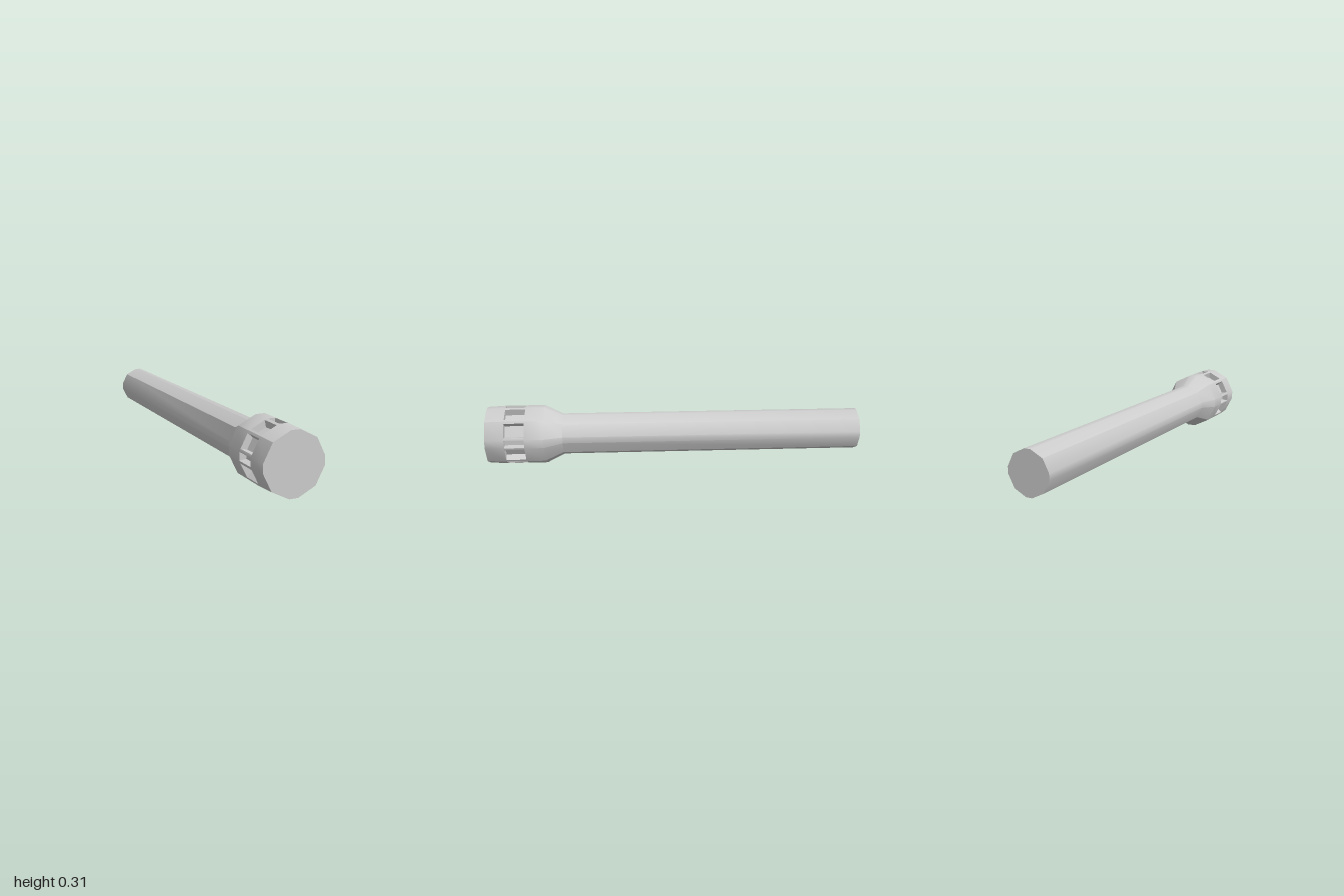
import * as THREE from 'three';
import { toCreasedNormals } from 'three/addons/utils/BufferGeometryUtils.js';

const R = 0.157;
const material = new THREE.MeshStandardMaterial({ color: 0xcccccc });

// Twelve-sided section, counter-clockwise seen from the front
const ring = [];
for (let q = 0; q < 4; q++) {
  for (const [x, y] of [[R, -0.023], [R, 0.023], [0.112, 0.112]]) {
    ring.push(new THREE.Vector2(x, y).rotateAround(new THREE.Vector2(), q * Math.PI / 2));
  }
}
const SIDES = ring.length;

// Point on side i, a fraction t along it, at depth z and section scale s
function point(i, t, z, s) {
  const p = ring[i].clone().lerp(ring[(i + 1) % SIDES], t).multiplyScalar(s);
  return [p.x, p.y + R, z];
}

// Four corners of a strip of side i
function strip(i, t0, t1, [z0, s0], [z1, s1]) {
  return [point(i, t0, z0, s0), point(i, t1, z0, s0), point(i, t1, z1, s1), point(i, t0, z1, s1)];
}

function addQuad(out, [a, b, c, d]) {
  out.push(...a, ...b, ...c, ...a, ...c, ...d);
}

function makeMesh(name, positions) {
  const geometry = new THREE.BufferGeometry();
  geometry.setAttribute('position', new THREE.Float32BufferAttribute(positions, 3));
  const mesh = new THREE.Mesh(toCreasedNormals(geometry, Math.PI / 6), material);
  mesh.name = name;
  return mesh;
}

export function createModel() {
  const group = new THREE.Group();
  group.name = 'flashlight';

  // Stations along the body: [z, scale]
  const stations = [[-1, 0.7], [0.6, 0.7], [0.695, 1], [0.795, 1], [0.9, 1], [1, 0.968]];
  const POCKET_BAND = 3;
  const body = [], pockets = [], lens = [], tail = [];

  for (let i = 0; i < SIDES; i++) {
    const margin = i % 3 === 0 ? 0.06 : 0.12;
    for (let k = 0; k < stations.length - 1; k++) {
      const a = stations[k], b = stations[k + 1];
      if (k !== POCKET_BAND) {
        addQuad(body, strip(i, 0, 1, a, b));
        continue;
      }
      // Ribs beside each grip pocket
      addQuad(body, strip(i, 0, margin, a, b));
      addQuad(body, strip(i, 1 - margin, 1, a, b));
      // Recessed pocket: four walls and a floor
      const rim = strip(i, margin, 1 - margin, a, b);
      const floor = strip(i, margin, 1 - margin, [a[0], 0.78], [b[0], 0.78]);
      for (let e = 0; e < 4; e++) {
        const n = (e + 1) % 4;
        addQuad(pockets, [rim[e], rim[n], floor[n], floor[e]]);
      }
      addQuad(pockets, floor);
    }
    // Flat end faces
    lens.push(0, R, 1, ...point(i, 0, 1, 0.968), ...point(i, 1, 1, 0.968));
    tail.push(0, R, -1, ...point(i, 1, -1, 0.7), ...point(i, 0, -1, 0.7));
  }

  group.add(
    makeMesh('body', body),
    makeMesh('gripPockets', pockets),
    makeMesh('lens', lens),
    makeMesh('tailCap', tail)
  );
  return group;
}
